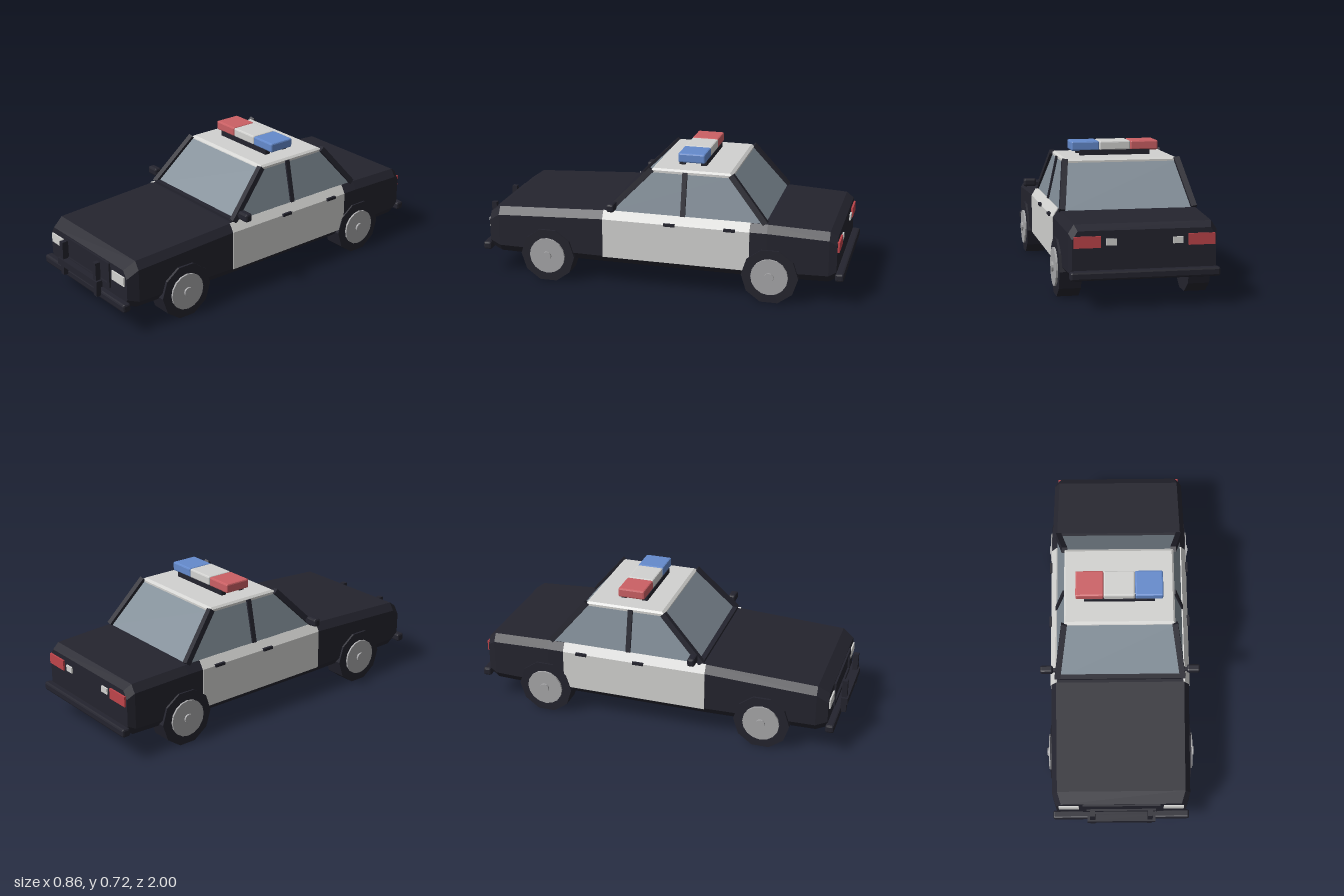
import * as THREE from 'three';
import { RoundedBoxGeometry } from 'three/addons/geometries/RoundedBoxGeometry.js';

const paint = (name, color) => Object.assign(new THREE.MeshStandardMaterial({ color }), { name });

// Closed, flat-faced solid through rings of points (counter-clockwise seen from the last ring)
function loft(rings) {
  const pos = [];
  const tri = (...pts) => pts.forEach(p => pos.push(...p));
  const n = rings[0].length;
  for (let k = 0; k + 1 < rings.length; k++) {
    const a = rings[k], b = rings[k + 1];
    for (let i = 0; i < n; i++) {
      const j = (i + 1) % n;
      tri(a[i], a[j], b[j]);
      tri(a[i], b[j], b[i]);
    }
  }
  const first = rings[0], last = rings[rings.length - 1];
  for (let i = 1; i + 1 < n; i++) {
    tri(first[0], first[i + 1], first[i]);
    tri(last[0], last[i], last[i + 1]);
  }
  const g = new THREE.BufferGeometry();
  g.setAttribute('position', new THREE.Float32BufferAttribute(pos, 3));
  g.computeVertexNormals();
  return g;
}

export function createModel() {
  const car = new THREE.Group();
  car.name = 'patrolCar';
  const dark = paint('dark navy', 0x24242e);
  const white = paint('white', 0xd2d2d0);
  const glass = paint('window glass', 0x808c96);
  const hubGrey = paint('hubcap grey', 0xa6a6a8);
  const red = paint('beacon red', 0xcb6064);
  const blue = paint('beacon blue', 0x648acc);
  const tailRed = paint('tail light red', 0xbe444a);

  const add = (name, geo, mat, x = 0, y = 0, z = 0) => {
    const m = new THREE.Mesh(geo, mat);
    m.name = name;
    m.position.set(x, y, z);
    car.add(m);
    return m;
  };
  const box = (name, mat, w, h, d, x, y, z) => add(name, new THREE.BoxGeometry(w, h, d), mat, x, y, z);
  // Box with chamfered edges
  const chamfered = (name, mat, w, h, d, x, y, z, r = 0.008) => {
    const g = new RoundedBoxGeometry(w, h, d, 1, r);
    g.computeVertexNormals();
    return add(name, g, mat, x, y, z);
  };
  // Square beam between two points
  const beam = (name, a, b, w, d) => {
    const p = new THREE.Vector3(...a), q = new THREE.Vector3(...b);
    const m = box(name, dark, w, p.distanceTo(q), d, 0, 0, 0);
    m.position.copy(p).add(q).multiplyScalar(0.5);
    m.quaternion.setFromUnitVectors(new THREE.Vector3(0, 1, 0), q.sub(p).normalize());
  };

  // Lower body: [z, bottom, top, half width], rear to front
  const sections = [
    [-0.96, 0.15, 0.375, 0.35], [-0.92, 0.13, 0.402, 0.362], [-0.6, 0.126, 0.415, 0.372],
    [0.28, 0.126, 0.415, 0.372], [0.87, 0.13, 0.385, 0.364], [0.93, 0.15, 0.345, 0.345],
  ];
  add('body', loft(sections.map(([z, b, t, w]) => {
    const half = [[w - 0.03, b], [w, b + 0.04], [w, t - 0.042], [w - 0.027, t]];
    return [...half.map(([x, y]) => [x, y, z]), ...half.reverse().map(([x, y]) => [-x, y, z])];
  })), dark);

  // Cabin glass and roof, stacked upwards: [y, half width, front z, rear z]
  const stack = rows => loft(rows.map(([y, w, f, r]) => [[w, y, f], [w, y, r], [-w, y, r], [-w, y, f]]));
  add('windows', stack([[0.41, 0.343, 0.258, -0.59], [0.638, 0.292, 0.035, -0.395]]), glass);
  add('roof', stack([[0.63, 0.294, 0.038, -0.4], [0.642, 0.294, 0.034, -0.4], [0.652, 0.284, 0.02, -0.385]]), white);
  box('cowl', dark, 0.66, 0.02, 0.03, 0, 0.42, 0.25);

  for (const s of [1, -1]) {
    const side = s > 0 ? 'left' : 'right';

    // White door panel wrapping over the shoulder
    const profile = [[0.376, 0.163], [0.376, 0.374], [0.348, 0.419], [0.33, 0.41], [0.33, 0.163]];
    const door = [-0.51, 0.28].map(z => {
      const ring = profile.map(([x, y]) => [x * s, y, z]);
      return s > 0 ? ring : ring.reverse();
    });
    add(side + 'Doors', loft(door), white);
    for (const z of [-0.085, -0.405])
      box(side + 'DoorHandle', dark, 0.014, 0.014, 0.06, s * 0.378, 0.375, z);

    // Pillars
    beam(side + 'FrontPillar', [s * 0.338, 0.415, 0.255], [s * 0.293, 0.645, 0.03], 0.03, 0.03);
    beam(side + 'RearPillar', [s * 0.338, 0.415, -0.588], [s * 0.293, 0.645, -0.395], 0.03, 0.03);
    beam(side + 'MiddlePillar', [s * 0.34, 0.415, -0.15], [s * 0.292, 0.64, -0.15], 0.02, 0.026);

    // Mirror
    chamfered(side + 'Mirror', dark, 0.07, 0.044, 0.04, s * 0.394, 0.456, 0.22, 0.01);
    box(side + 'MirrorArm', dark, 0.05, 0.016, 0.02, s * 0.345, 0.448, 0.22);

    // Wheels with hubcaps
    for (const [end, z] of [['Front', 0.59], ['Rear', -0.62]]) {
      const disc = (name, mat, r, width, x, sides) => {
        const g = new THREE.CylinderGeometry(r, r, width, sides).toNonIndexed();
        g.rotateZ(-Math.PI / 2);
        g.rotateX(Math.PI / 2);
        g.computeVertexNormals();
        add(side + end + name, g, mat, s * x, 0.143, z);
      };
      // Ten-sided tyre turned so that it stands on a flat
      const tyre = new THREE.CylinderGeometry(0.15, 0.15, 0.11, 10).toNonIndexed();
      tyre.rotateZ(Math.PI / 2);
      tyre.computeVertexNormals();
      const tyreMesh = add(side + end + 'Tyre', tyre, dark, s * 0.325, 0.143, z);
      tyreMesh.name = side + end + 'Tyre';
      disc('Hubcap', hubGrey, 0.098, 0.02, 0.38, 16);
      disc('HubCentre', hubGrey, 0.025, 0.02, 0.39, 12);
    }

    // Lamps
    box(side + 'Headlight', white, 0.106, 0.05, 0.02, s * 0.278, 0.286, 0.928);
    box(side + 'TailLight', tailRed, 0.13, 0.055, 0.02, s * 0.278, 0.322, -0.96);
    box(side + 'ReverseLight', white, 0.05, 0.032, 0.02, s * 0.162, 0.32, -0.958);

    // Upright of the push bar
    box(side + 'PushBarUpright', dark, 0.027, 0.185, 0.028, s * 0.152, 0.248, 0.978);
  }

  // Grille frame and push bar
  for (const y of [0.215, 0.33]) box('grilleRail', dark, 0.41, 0.02, 0.02, 0, y, 0.93);
  for (const x of [-0.195, 0.195]) box('grilleSide', dark, 0.02, 0.135, 0.02, x, 0.272, 0.93);
  box('pushBarCross', dark, 0.36, 0.036, 0.035, 0, 0.228, 0.9825);

  // Bumpers
  chamfered('frontBumper', dark, 0.73, 0.044, 0.045, 0, 0.158, 0.945, 0.01);
  chamfered('rearBumper', dark, 0.73, 0.044, 0.045, 0, 0.165, -0.9775, 0.01);

  // Light bar
  for (const z of [-0.108, -0.225]) box('lightBarFoot', dark, 0.376, 0.03, 0.03, 0, 0.664, z);
  chamfered('redBeacon', red, 0.148, 0.05, 0.145, -0.158, 0.7, -0.168);
  chamfered('whiteBeacon', white, 0.166, 0.05, 0.145, 0, 0.7, -0.168);
  chamfered('blueBeacon', blue, 0.148, 0.05, 0.145, 0.158, 0.7, -0.168);

  return car;
}
